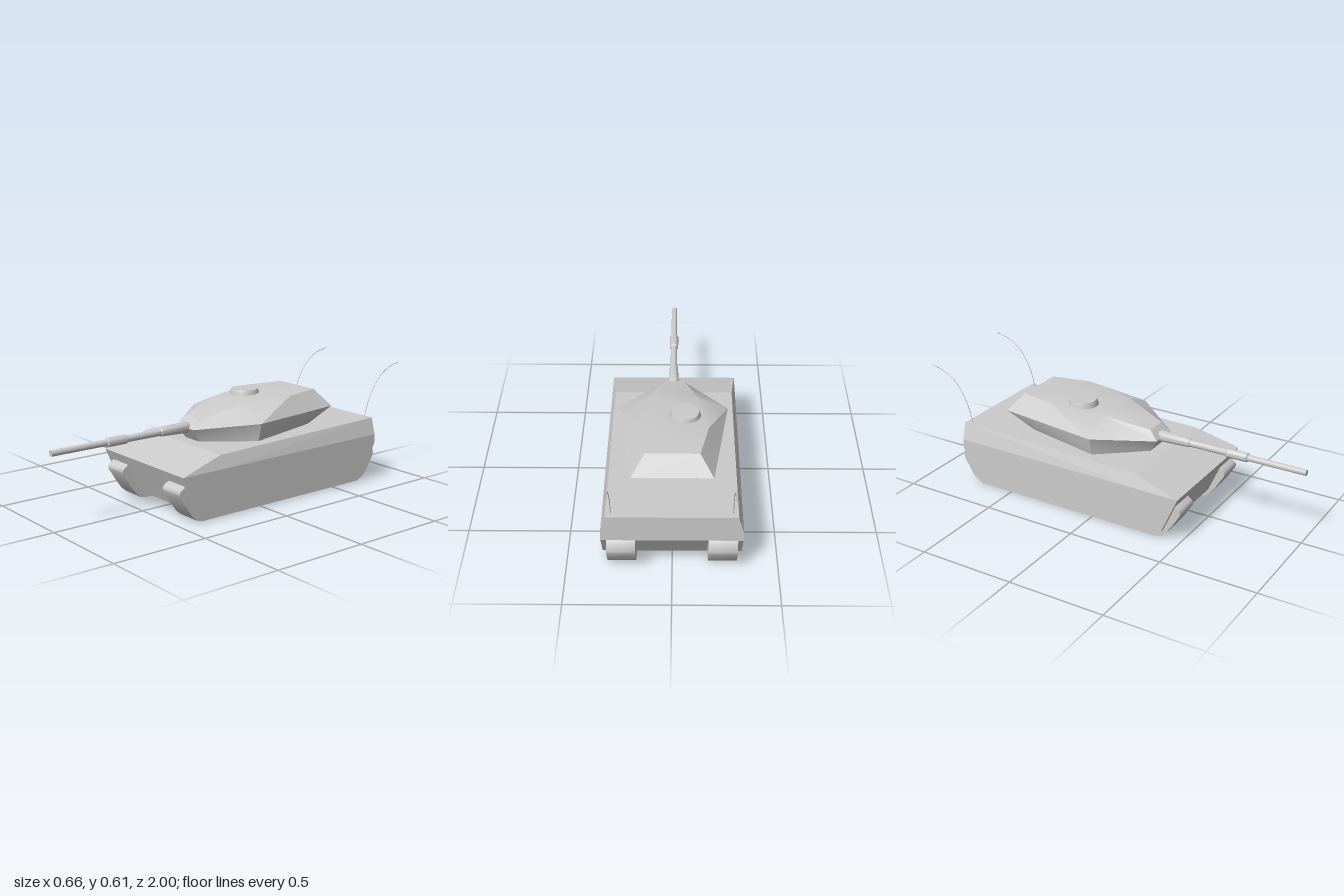
import * as THREE from 'three';
import { toCreasedNormals } from 'three/addons/utils/BufferGeometryUtils.js';

const flat = new THREE.MeshStandardMaterial({ color: 0xcccccc, flatShading: true });
const smooth = new THREE.MeshStandardMaterial({ color: 0xcccccc });

function addMesh(parent, name, geometry, material = flat) {
  const mesh = new THREE.Mesh(geometry, material);
  mesh.name = name;
  parent.add(mesh);
  return mesh;
}

// Extrudes a [z, y] side profile across the width from x0 to x1
function sideExtrude(profile, x0, x1) {
  const shape = new THREE.Shape(profile.map(([z, y]) => new THREE.Vector2(-z, y)));
  const geometry = new THREE.ExtrudeGeometry(shape, { depth: x1 - x0, bevelEnabled: false });
  return geometry.rotateY(Math.PI / 2).translate(x0, 0, 0);
}

// Mirrors a left-hand run of [x, y, z] points (front to rear) into a closed ring
function mirrorRing(points) {
  return [...points, ...points.map(([x, y, z]) => [-x, y, z]).reverse()];
}

// Skins closed rings stacked bottom to top and caps both ends
function loftRings(rings) {
  const n = rings[0].length;
  const half = n / 2;
  const index = [];
  for (let r = 0; r < rings.length - 1; r++) {
    for (let i = 0; i < n; i++) {
      const j = (i + 1) % n;
      const a = r * n + i, b = r * n + j, c = a + n, d = b + n;
      // diagonals are mirrored between the left and right halves
      if (i < half) index.push(a, b, d, a, d, c);
      else index.push(a, b, c, b, d, c);
    }
  }
  const top = (rings.length - 1) * n;
  for (let i = 0; i < half - 1; i++) {
    const a = i, b = i + 1, c = n - 2 - i, d = n - 1 - i;
    index.push(a, c, b, a, d, c);
    index.push(top + a, top + b, top + c, top + a, top + c, top + d);
  }
  const geometry = new THREE.BufferGeometry();
  geometry.setAttribute('position', new THREE.Float32BufferAttribute(rings.flat(2), 3));
  geometry.setIndex(index);
  return toCreasedNormals(geometry, 0.45);
}

function lathe(profile, segments) {
  const points = profile.map(([r, y]) => new THREE.Vector2(r, y));
  return toCreasedNormals(new THREE.LatheGeometry(points, segments), 0.6);
}

function createHull() {
  const hull = new THREE.Group();
  hull.name = 'hull';

  // Sloped upper armour
  addMesh(hull, 'upperHull', loftRings([
    mirrorRing([[0.33, 0.245, 0.495], [0.33, 0.245, 0.26], [0.33, 0.245, -0.78]]),
    mirrorRing([[0.33, 0.245, 0.495], [0.307, 0.31, 0.255], [0.305, 0.333, -0.78]]),
  ]));

  // Full-width floor above the track channels
  addMesh(hull, 'trackGuard', sideExtrude(
    [[0.473, 0.195], [0.495, 0.245], [-0.78, 0.245], [-0.78, 0.195]], -0.33, 0.33));

  // Belly and side skirts share one profile
  const lower = [[0.41, 0.05], [0.473, 0.195], [-0.78, 0.195], [-0.69, 0.05]];
  addMesh(hull, 'belly', sideExtrude(lower, -0.166, 0.166));
  addMesh(hull, 'leftSkirt', sideExtrude(lower, 0.307, 0.33));
  addMesh(hull, 'rightSkirt', sideExtrude(lower, -0.33, -0.307));
  return hull;
}

function createTurret() {
  const turret = new THREE.Group();
  turret.name = 'turret';

  // Faceted shell: base, waist and roof rings
  addMesh(turret, 'turretShell', loftRings([
    mirrorRing([[0.055, 0.31, 0.19], [0.252, 0.318, -0.03], [0.215, 0.324, -0.24], [0.18, 0.329, -0.43]]),
    mirrorRing([[0.07, 0.38, 0.235], [0.275, 0.41, -0.03], [0.235, 0.408, -0.31], [0.195, 0.406, -0.585]]),
    mirrorRing([[0.055, 0.427, 0.19], [0.125, 0.477, -0.03], [0.174, 0.495, -0.31], [0.13, 0.495, -0.515]]),
  ]), smooth);

  // Commander's hatch
  const cupola = addMesh(turret, 'cupola',
    lathe([[0.078, 0.478], [0.078, 0.484], [0.068, 0.511], [0, 0.511]], 32), smooth);
  cupola.position.set(-0.06, 0, -0.2);

  // Stepped barrel, profile as radius and distance forward
  const barrel = addMesh(turret, 'gunBarrel', lathe([
    [0, 0.2], [0.02, 0.201], [0.029, 0.225], [0.022, 0.385], [0.018, 0.39], [0.017, 0.585],
    [0.023, 0.59], [0.023, 0.695], [0.016, 0.7], [0.015, 1], [0, 1],
  ], 20), smooth);
  barrel.rotation.x = Math.PI / 2;
  barrel.position.y = 0.381;
  return turret;
}

export function createModel() {
  const model = new THREE.Group();
  model.name = 'tank';
  model.add(createHull(), createTurret());

  const trackProfile = [
    [0.36, 0], [0.395, 0.008], [0.42, 0.03], [0.455, 0.08], [0.495, 0.145], [0.498, 0.16],
    [0.488, 0.175], [0.455, 0.194], [-0.775, 0.194], [-0.787, 0.18], [-0.8, 0.14],
    [-0.795, 0.12], [-0.75, 0.045], [-0.73, 0.025], [-0.685, 0],
  ];
  const trackGeometry = toCreasedNormals(sideExtrude(trackProfile, -0.0675, 0.0675), 0.85);

  const whip = new THREE.CatmullRomCurve3([
    [0, 0.325, -0.745], [0.001, 0.44, -0.783], [0.002, 0.535, -0.845],
    [0.002, 0.585, -0.92], [0.003, 0.604, -1],
  ].map((p) => new THREE.Vector3(...p)));
  const whipGeometry = new THREE.TubeGeometry(whip, 20, 0.002, 6);

  // Paired running gear and aerials
  for (const [side, s] of [['left', 1], ['right', -1]]) {
    addMesh(model, side + 'Track', trackGeometry, smooth).position.x = s * 0.237;
    addMesh(model, side + 'Antenna', whipGeometry, smooth).position.x = s * 0.28;
  }
  return model;
}
